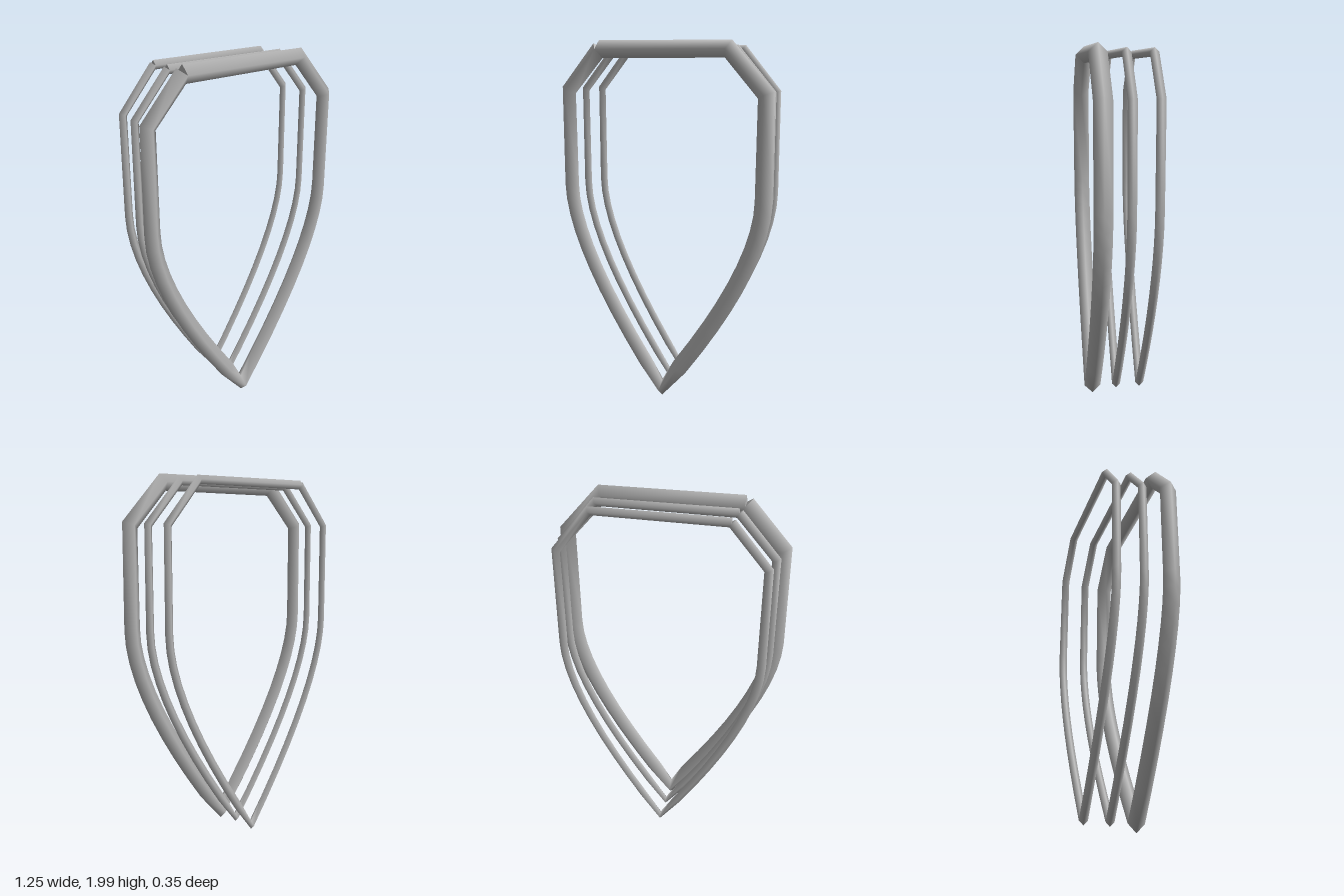
import * as THREE from 'three';

const SIDES = 4;

// Centreline of the shield outline: top bar, chamfer, side, curve to the tip, and back up.
function shieldPath(widthScale) {
  const right = [[0.375, 1.953], [0.578, 1.733], [0.58, 1.2]].map(([x, y]) => new THREE.Vector2(x, y));
  const curve = new THREE.QuadraticBezierCurve(
    new THREE.Vector2(0.58, 1.2), new THREE.Vector2(0.58, 0.82), new THREE.Vector2(0, 0.053));
  right.push(...curve.getPoints(10).slice(1));
  const left = right.slice(0, -1).reverse().map((p) => new THREE.Vector2(-p.x, p.y));
  const start = new THREE.Vector2(-0.375, 1.953);
  return [start, ...right, ...left].map((p) => new THREE.Vector2(p.x * widthScale, p.y));
}

// Sweep a diamond section along the path; rings sit on the bisector of each corner.
function sweep(path, radius) {
  const pos = [], nor = [], idx = [];
  const last = path.length - 1;
  const dir = (i) => path[i + 1].clone().sub(path[i]).normalize();
  const tangents = path.map((p, i) => {
    if (i === 0) return dir(0);
    if (i === last) return dir(last - 1);
    return dir(i - 1).add(dir(i)).normalize();
  });
  const ringPoint = (i, j) => {
    const a = (j / SIDES) * Math.PI * 2, t = tangents[i];
    return new THREE.Vector3(-t.y * Math.cos(a), t.x * Math.cos(a), Math.sin(a));
  };
  const add = (i, j, normal) => {
    const n = ringPoint(i, j);
    pos.push(path[i].x + n.x * radius, path[i].y + n.y * radius, n.z * radius);
    nor.push(...(normal || n).toArray());
  };

  for (let i = 0; i <= last; i++) {
    for (let j = 0; j < SIDES; j++) {
      add(i, j);
      if (i === last) continue;
      const a = i * SIDES + j, b = i * SIDES + ((j + 1) % SIDES);
      idx.push(a, b, a + SIDES, b, b + SIDES, a + SIDES);
    }
  }
  // Flat end faces at the notch where the bar starts and ends
  for (const [i, sign] of [[0, -1], [last, 1]]) {
    const base = pos.length / 3;
    const normal = new THREE.Vector3(tangents[i].x * sign, tangents[i].y * sign, 0);
    for (let j = 0; j < SIDES; j++) add(i, j, normal);
    for (let j = 1; j < SIDES - 1; j++) {
      if (sign > 0) idx.push(base, base + j, base + j + 1);
      else idx.push(base, base + j + 1, base + j);
    }
  }

  const geo = new THREE.BufferGeometry();
  geo.setAttribute('position', new THREE.Float32BufferAttribute(pos, 3));
  geo.setAttribute('normal', new THREE.Float32BufferAttribute(nor, 3));
  geo.setIndex(idx);
  return geo;
}

export function createModel() {
  const group = new THREE.Group();
  group.name = 'shieldFrames';
  const metal = new THREE.MeshStandardMaterial({ color: 0xb8b8b8 });
  metal.name = 'grey metal';

  // Thick front frame and two thinner, slightly narrower frames behind it
  const frames = [
    ['frontFrame', 1, 0.047, 0.128],
    ['middleFrame', 0.967, 0.0238, -0.0125],
    ['backFrame', 0.931, 0.0238, -0.152],
  ];
  for (const [name, widthScale, radius, z] of frames) {
    const mesh = new THREE.Mesh(sweep(shieldPath(widthScale), radius), metal);
    mesh.name = name;
    mesh.position.z = z;
    group.add(mesh);
  }
  return group;
}
